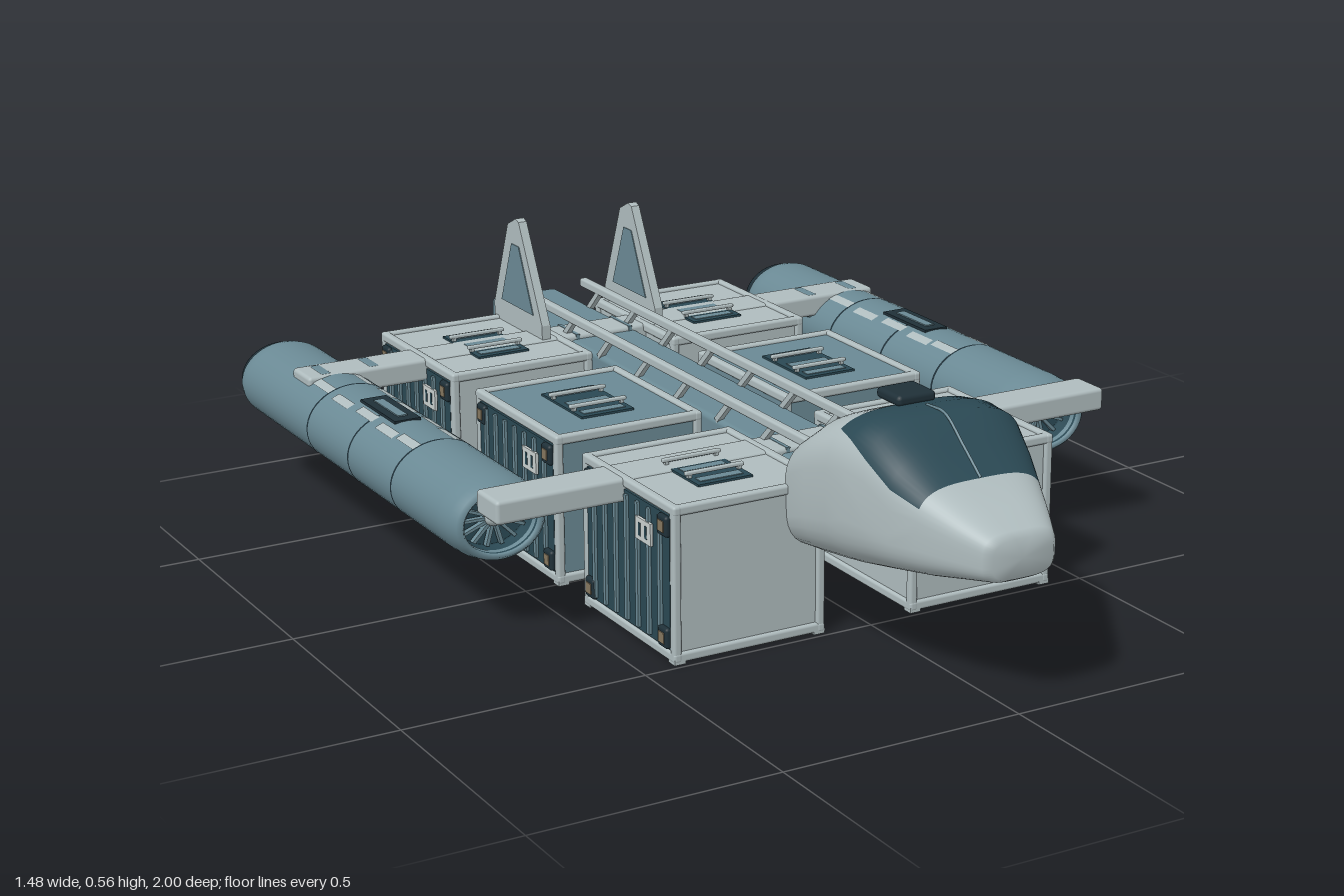
import * as THREE from 'three';
import { RoundedBoxGeometry } from 'three/addons/geometries/RoundedBoxGeometry.js';

const mat = (name, color) => Object.assign(new THREE.MeshStandardMaterial({ color }), { name });
const light = mat('light grey hull', 0xafbcbe);
const blue = mat('slate blue', 0x6a8994);
const dark = mat('dark teal', 0x2a4853);
const black = mat('charcoal', 0x1f3038);
const brass = mat('dull brass', 0x85775f);
const pale = mat('pale label', 0xc9d0cf);

function add(parent, name, geo, material, x = 0, y = 0, z = 0) {
  const m = new THREE.Mesh(geo, material);
  m.name = name;
  m.position.set(x, y, z);
  parent.add(m);
  return m;
}
const box = (p, name, m, w, h, d, x, y, z) => add(p, name, new THREE.BoxGeometry(w, h, d), m, x, y, z);
const rbox = (p, name, m, w, h, d, r, x, y, z) => add(p, name, new RoundedBoxGeometry(w, h, d, 2, r), m, x, y, z);
function group(parent, name) {
  const g = new THREE.Group();
  g.name = name;
  parent.add(g);
  return g;
}

// Cockpit sections: z, half width, bottom, top, window edge angle in degrees
const SECTIONS = [
  [0.465, 0.165, 0.19, 0.385, 45], [0.475, 0.183, 0.172, 0.41, 45], [0.55, 0.187, 0.18, 0.463, 45],
  [0.63, 0.19, 0.192, 0.493, 45], [0.68, 0.188, 0.2, 0.502, 36], [0.74, 0.178, 0.211, 0.502, 22],
  [0.8, 0.161, 0.222, 0.459, 17], [0.86, 0.14, 0.233, 0.412, 24], [0.93, 0.108, 0.247, 0.378, 24],
  [0.985, 0.08, 0.257, 0.352, 24], [1, 0.066, 0.265, 0.341, 24],
];

// Lofted cockpit shell; the upper band of the middle rows is glass
function cockpit(root) {
  const g = group(root, 'cockpit');
  const UP = 22, LOW = 30, N = UP + LOW, pos = [], hull = [], glass = [];
  for (const [z, w, b, t, deg] of SECTIONS) {
    const e = THREE.MathUtils.degToRad(deg);
    for (let j = 0; j < N; j++) {
      const a = j < UP ? e + (Math.PI - 2 * e) * j / UP
        : Math.PI - e + (Math.PI + 2 * e) * (j - UP) / LOW;
      const sq = v => Math.sign(v) * Math.abs(v) ** 0.58;
      pos.push(w * sq(Math.cos(a)), (b + t) / 2 + (t - b) / 2 * sq(Math.sin(a)), z);
    }
  }
  const last = SECTIONS.length - 1, rear = pos.length / 3;
  pos.push(0, 0.29, 0.465, 0, 0.303, 1);
  for (let j = 0; j < N; j++) {
    const k = (j + 1) % N;
    for (let i = 0; i < last; i++) {
      const a = i * N + j, b = i * N + k, c = a + N, d = b + N;
      (i >= 3 && i < 7 && j < UP ? glass : hull).push(a, b, c, b, d, c);
    }
    hull.push(k, j, rear, last * N + j, last * N + k, rear + 1);
  }
  const geo = new THREE.BufferGeometry();
  geo.setAttribute('position', new THREE.Float32BufferAttribute(pos, 3));
  geo.setIndex([...hull, ...glass]);
  geo.addGroup(0, hull.length, 0);
  geo.addGroup(hull.length, glass.length, 1);
  geo.computeVertexNormals();
  add(g, 'cockpitShell', geo, [light, dark]);
  // Windscreen centre bar, roof sensor and nose sensors
  const path = new THREE.CatmullRomCurve3(SECTIONS.slice(4, 8).map(s => new THREE.Vector3(0, s[3], s[0])));
  add(g, 'windscreenBar', new THREE.TubeGeometry(path, 16, 0.003, 6), blue);
  rbox(g, 'roofSensor', black, 0.085, 0.022, 0.08, 0.009, 0, 0.503, 0.61);
  for (const s of [-1, 1]) add(g, 'noseSensor', new THREE.SphereGeometry(0.005, 8, 6), dark, s * 0.07, 0.31, 0.982);
}

// Cargo container on side s, centred at z
function container(root, s, z, bodyMat) {
  const g = group(root, 'cargoContainer');
  g.position.set(s * 0.265, 0.16, z);
  const W = 0.158, H = 0.147, D = 0.175;
  rbox(g, 'containerBody', bodyMat, 0.32, 0.3, 0.352, 0.006, 0, 0, 0);
  for (const a of [-1, 1]) for (const b of [-1, 1]) {
    rbox(g, 'frameLength', light, 0.018, 0.02, 0.37, 0.006, a * W, b * H, 0);
    rbox(g, 'frameWidth', light, 0.33, 0.02, 0.018, 0.006, 0, a * H, b * D);
    rbox(g, 'framePost', light, 0.018, 0.312, 0.018, 0.006, a * W, 0, b * D);
    // Corner fittings on the outer face
    rbox(g, 'cornerFitting', black, 0.02, 0.042, 0.036, 0.006, s * 0.164, a * 0.112, b * 0.148);
    box(g, 'cornerPlate', brass, 0.006, 0.022, 0.02, s * 0.173, a * 0.112, b * 0.148);
  }
  for (const a of [-1, 1]) for (const b of [-1, 1])
    box(g, 'foot', light, 0.024, 0.01, 0.024, a * 0.154, -0.155, b * 0.172);
  // Corrugated outer panel and its label
  box(g, 'sidePanel', dark, 0.008, 0.268, 0.33, s * 0.161, 0, 0);
  for (let i = 0; i < 7; i++) box(g, 'panelRib', blue, 0.01, 0.255, 0.01, s * 0.166, 0, (i - 3) * 0.044);
  box(g, 'label', pale, 0.006, 0.045, 0.06, s * 0.17, 0.078, 0.075);
  for (const d of [-1, 1]) box(g, 'labelMark', dark, 0.004, 0.026, 0.008, s * 0.172, 0.078, 0.075 + d * 0.012);
  // Roof hatch with handles
  box(g, 'hatch', dark, 0.12, 0.007, 0.18, 0, 0.151, 0);
  for (const d of [-0.065, 0, 0.065]) box(g, 'hatchSlat', blue, 0.095, 0.006, 0.022, 0, 0.153, d);
  for (const d of [-0.045, 0.045]) {
    rbox(g, 'handle', light, 0.13, 0.008, 0.01, 0.003, 0, 0.164, d);
    for (const a of [-1, 1]) box(g, 'handlePost', light, 0.008, 0.016, 0.008, a * 0.055, 0.156, d);
  }
}

const lathe = pts => new THREE.LatheGeometry(pts.map(p => new THREE.Vector2(...p)), 48).rotateX(Math.PI / 2);
const shell = (r, len, start = 0, arc = Math.PI * 2) =>
  new THREE.CylinderGeometry(r, r, len, arc > 6 ? 48 : 4, 1, true, start, arc).rotateX(Math.PI / 2);

// Oval engine nacelle, built at unit radius
function engine(root, s) {
  const g = group(root, 'engine');
  g.position.set(s * 0.637, 0.23, 0);
  g.scale.set(0.104, 0.084, 1);
  add(g, 'nacelle', lathe([[0.9, -0.9], [0.96, -0.893], [1, -0.875], [1, -0.86], [1, 0.11], [1, 0.12],
    [0.975, 0.155], [0.91, 0.18], [0.82, 0.19], [0.76, 0.183], [0.73, 0.165]]), blue);
  add(g, 'exhaust', lathe([[0, -0.86], [0.71, -0.86], [0.72, -0.862], [0.76, -0.915], [0.79, -0.92],
    [0.86, -0.92], [0.88, -0.915], [0.92, -0.893]]), black);
  add(g, 'intake', lathe([[0.75, 0.18], [0.72, 0.14], [0.7, 0.135], [0, 0.135]]), dark);
  for (const [z, name] of [[0.145, 'fanBlade'], [-0.87, 'exhaustVane']]) for (let i = 0; i < 14; i++) {
    const a = i / 14 * Math.PI * 2;
    box(g, name, blue, 0.5, 0.07, 0.012, Math.cos(a) * 0.44, Math.sin(a) * 0.44, z).rotation.z = a;
  }
  add(g, 'fanHub', new THREE.SphereGeometry(0.2, 20, 12).scale(1, 1, 0.1), light, 0, 0, 0.148);
  add(g, 'exhaustCone', new THREE.SphereGeometry(0.25, 20, 12).scale(1, 1, 0.12), dark, 0, 0, -0.86);
  for (const z of [-0.1, -0.31, -0.52]) add(g, 'seam', shell(1.006, 0.006), black, 0, 0, z);
  // Staggered cover strips along the top
  for (const side of [-1, 1]) [-0.14, -0.23, -0.34, -0.45, -0.56].forEach((z, i) => {
    const mid = Math.PI + side * (i % 2 ? 0.5 : 0.44);
    add(g, 'coverStrip', shell(1.015, 0.08, mid - 0.1, 0.2), light, 0, 0, z);
  });
  // Service hatch
  box(g, 'serviceHatch', black, 0.55, 0.1, 0.17, 0, 0.98, -0.325);
  box(g, 'serviceHatchInset', blue, 0.2, 0.1, 0.12, 0, 1.01, -0.325);
}

// Tail fin profile in (z, y)
const FIN = [[-0.605, 0.31], [-0.605, 0.345], [-0.71, 0.555], [-0.725, 0.56], [-0.765, 0.54], [-0.84, 0.345], [-0.84, 0.31]];
const PANEL = [[-0.645, 0.36], [-0.71, 0.5], [-0.745, 0.5], [-0.8, 0.36]];
const plate = (pts, depth) => new THREE.ExtrudeGeometry(new THREE.Shape(pts.map(p => new THREE.Vector2(...p))),
  { depth, bevelEnabled: false }).rotateY(-Math.PI / 2).translate(depth / 2, 0, 0);

export function createModel() {
  const root = new THREE.Group();
  root.name = 'cargoCraft';
  cockpit(root);
  rbox(root, 'spine', blue, 0.165, 0.075, 1.5, 0.012, 0, 0.2675, -0.25);
  for (const z of [0.248, -0.645]) {
    rbox(root, 'wing', light, 1.4, 0.048, 0.09, 0.008, 0, 0.291, z);
    for (const s of [-1, 1]) box(root, 'wingBand', blue, 0.008, 0.05, 0.092, s * 0.065, 0.291, z);
  }
  for (const s of [-1, 1]) {
    container(root, s, 0.305, light);
    container(root, s, -0.173, blue);
    container(root, s, -0.65, light);
    engine(root, s);
    for (const d of [-0.055, 0.055])
      rbox(root, 'enginePylon', blue, 0.025, 0.055, 0.07, 0.006, s * (0.6 + d), 0.289, -0.645);
    // Top rails on slanted struts
    rbox(root, 'rail', light, 0.018, 0.02, 1.32, 0.005, s * 0.078, 0.355, -0.19);
    for (let i = 0; i < 8; i++)
      box(root, 'railStrut', light, 0.012, 0.07, 0.012, s * 0.076, 0.325, 0.4 - i * 0.17).rotation.x = 0.8;
    // Tail fins
    add(root, 'tailFin', plate(FIN, 0.02), light, s * 0.14);
    add(root, 'tailFinPanel', plate(PANEL, 0.024), blue, s * 0.14);
  }
  return root;
}
